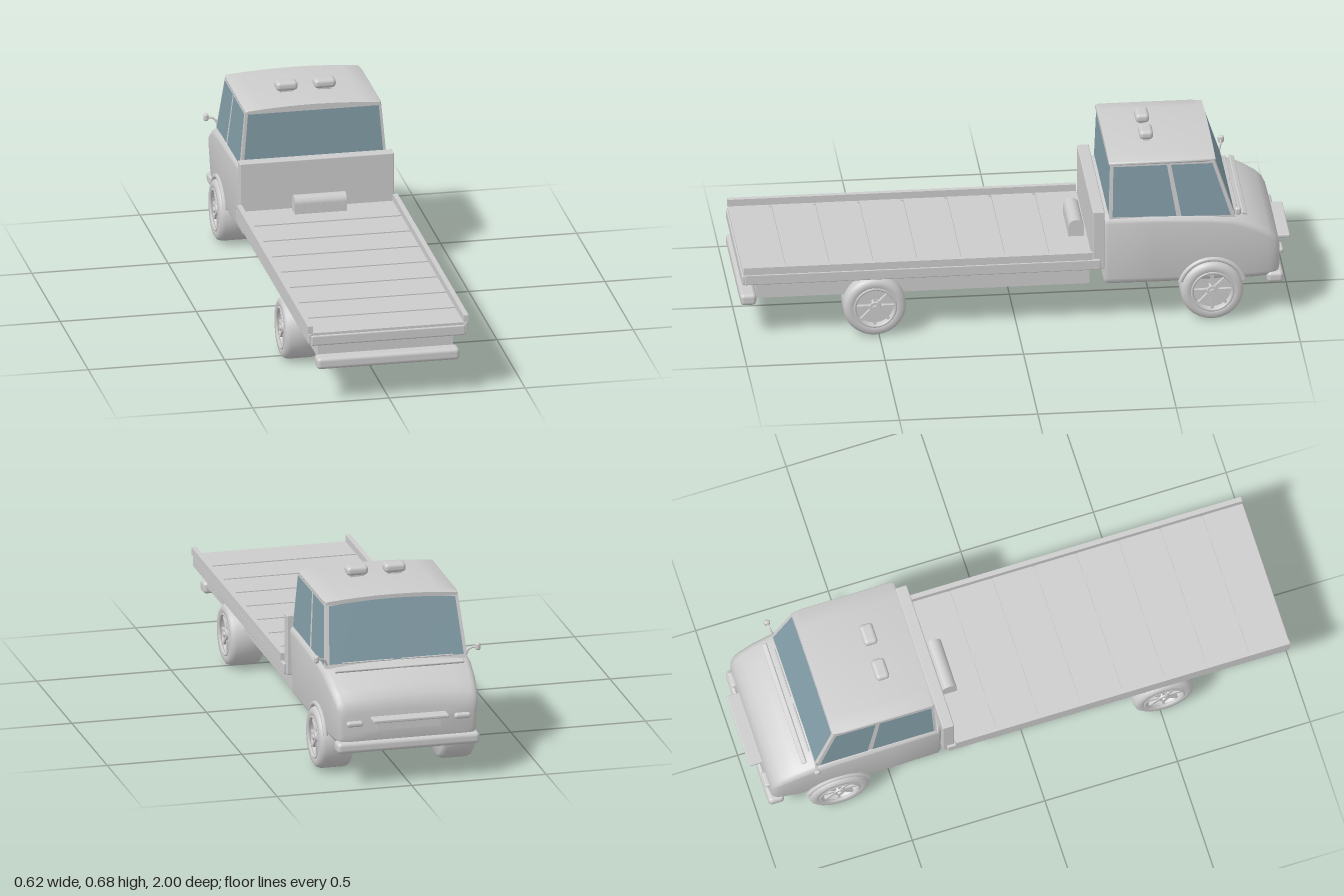
import * as THREE from 'three';
import { toCreasedNormals } from 'three/addons/utils/BufferGeometryUtils.js';
import { RoundedBoxGeometry } from 'three/addons/geometries/RoundedBoxGeometry.js';

const grey = new THREE.MeshStandardMaterial({ color: 0xcccccc });
const glass = new THREE.MeshStandardMaterial({ color: 0x829ca6 });

function add(parent, name, geo, x = 0, y = 0, z = 0, mat = grey) {
  const m = new THREE.Mesh(geo, mat);
  m.name = name;
  m.position.set(x, y, z);
  parent.add(m);
  return m;
}

// Box given by its limits on each axis
function box(parent, name, x0, x1, y0, y1, z0, z1, r = 0) {
  const s = [x1 - x0, y1 - y0, z1 - z0];
  const geo = r ? new RoundedBoxGeometry(...s, 3, r) : new THREE.BoxGeometry(...s);
  return add(parent, name, geo, (x0 + x1) / 2, (y0 + y1) / 2, (z0 + z1) / 2);
}

function geometry(pos, index) {
  const g = new THREE.BufferGeometry();
  g.setAttribute('position', new THREE.Float32BufferAttribute(pos, 3));
  g.setIndex(index);
  return g;
}

// Rounded cross-section, wider at the top by 1/taper, with a crowned top edge
function section({ z, w, y0, y1, r, crown = 0, taper = 1 }) {
  const pts = [];
  const arc = (cx, cy, start) => {
    for (let i = 0; i <= 4; i++) {
      const t = start + (i / 4) * Math.PI / 2;
      pts.push([cx + r * Math.cos(t), cy + r * Math.sin(t)]);
    }
  };
  arc(-w + r, y0 + r, Math.PI);
  arc(w - r, y0 + r, -Math.PI / 2);
  arc(w - r, y1 - r, 0);
  for (let i = 1; i < 8; i++) pts.push([(w - r) * (1 - i / 4), y1]);
  arc(-w + r, y1 - r, Math.PI / 2);
  return pts.map(([x, y]) => {
    const v = (y - y0) / (y1 - y0);
    const lift = v > 0.5 ? crown * (1 - (x / w) ** 2) : 0;
    return [x * (taper + (1 - taper) * Math.min(1, v * 2)), y + lift, z];
  });
}

// Closed skin through cross-sections listed with falling z
function loft(specs) {
  const loops = specs.map(section), n = loops[0].length, pos = loops.flat(2), idx = [];
  for (let i = 0; i < loops.length - 1; i++) {
    for (let j = 0; j < n; j++) {
      const k = (j + 1) % n, a = i * n + j, b = i * n + k, c = b + n, d = a + n;
      idx.push(a, c, b, a, d, c);
    }
  }
  [0, loops.length - 1].forEach((i) => {
    const mid = pos.length / 3, s = specs[i];
    pos.push(0, (s.y0 + s.y1) / 2, s.z);
    for (let j = 0; j < n; j++) {
      const a = i * n + j, b = i * n + ((j + 1) % n);
      idx.push(mid, ...(i === 0 ? [a, b] : [b, a]));
    }
  });
  return toCreasedNormals(geometry(pos, idx), 0.6);
}

// Panel cut from a four-cornered face (a, b bottom; c, d top), optionally arched on top
function patch([a, b, c, d], u0, u1, v0, v1, crown = 0, offset = 0) {
  const [A, B, C, D] = [a, b, c, d].map((p) => new THREE.Vector3(...p));
  const normal = B.clone().sub(A).cross(D.clone().sub(A)).normalize().multiplyScalar(offset);
  const pos = [], idx = [], n = 8;
  for (let i = 0; i <= n; i++) {
    const u = u0 + (u1 - u0) * i / n;
    [v0, v1].forEach((v) => {
      const p = A.clone().lerp(B, u).lerp(D.clone().lerp(C, u), v).add(normal);
      pos.push(p.x, p.y + v * crown * (1 - (2 * u - 1) ** 2), p.z);
    });
    if (i < n) idx.push(2 * i, 2 * i + 2, 2 * i + 3, 2 * i, 2 * i + 3, 2 * i + 1);
  }
  const g = geometry(pos, idx);
  g.computeVertexNormals();
  return g;
}

// Wheel with its outer side towards +x
function wheel(name) {
  const g = new THREE.Group();
  g.name = name;
  const profile = [[0, -0.0625], [0.098, -0.0625], [0.108, -0.056], [0.113, -0.045], [0.113, 0.042],
    [0.108, 0.055], [0.097, 0.0625], [0.08, 0.062], [0.074, 0.058], [0.07, 0.035], [0, 0.035]];
  const tyre = new THREE.LatheGeometry(profile.map((p) => new THREE.Vector2(...p)), 40);
  add(g, 'tyre', toCreasedNormals(tyre.rotateZ(-Math.PI / 2), 0.7));
  add(g, 'rim', new THREE.TorusGeometry(0.074, 0.006, 8, 40).rotateY(Math.PI / 2), 0.058);
  for (let i = 0; i < 8; i++) {
    const spoke = new THREE.BoxGeometry(0.014, 0.055, 0.01).translate(0, 0.044, 0);
    add(g, 'spoke', spoke.rotateX(i * Math.PI / 4), 0.045);
  }
  add(g, 'hub', new THREE.CylinderGeometry(0.02, 0.024, 0.026, 20).rotateZ(-Math.PI / 2), 0.046);
  add(g, 'hubCap', new THREE.CylinderGeometry(0.009, 0.011, 0.01, 16).rotateZ(-Math.PI / 2), 0.06);
  return g;
}

function buildCab(truck) {
  const cab = new THREE.Group();
  cab.name = 'cab';
  truck.add(cab);

  // Lower body, running into the sloping rounded nose
  const t = { r: 0.025, taper: 0.96 };
  add(cab, 'cabBody', loft([
    { ...t, z: -0.318, w: 0.268, y0: 0.15, y1: 0.412 },
    { ...t, z: -0.328, w: 0.275, y0: 0.145, y1: 0.417 },
    { ...t, z: -0.50, w: 0.278, y0: 0.145, y1: 0.417 },
    { ...t, z: -0.70, w: 0.278, y0: 0.145, y1: 0.407, crown: 0.005 },
    { ...t, z: -0.79, w: 0.276, y0: 0.145, y1: 0.392, crown: 0.016 },
    { ...t, z: -0.86, w: 0.272, y0: 0.145, y1: 0.363, crown: 0.02 },
    { ...t, z: -0.91, w: 0.267, y0: 0.147, y1: 0.334, crown: 0.018 },
    { ...t, z: -0.935, w: 0.262, y0: 0.15, y1: 0.312, crown: 0.014 },
    { ...t, z: -0.947, w: 0.253, y0: 0.157, y1: 0.29, crown: 0.01 },
    { ...t, z: -0.952, w: 0.24, y0: 0.17, y1: 0.27, crown: 0.006 },
  ]));

  // Window frame and panes
  const rb = [0.268, 0.41, -0.334], rt = [0.249, 0.62, -0.341];
  const fb = [0.264, 0.395, -0.79], ft = [0.246, 0.618, -0.716];
  const m = ([x, y, z]) => [-x, y, z];
  const left = [rb, fb, ft, rt], right = [m(fb), m(rb), m(rt), m(ft)];
  const rear = [m(rb), rb, rt, m(rt)], front = [fb, m(fb), m(ft), ft];
  const pane = (face, ...rest) => add(cab, 'window', patch(face, ...rest, 0.002), 0, 0, 0, glass);
  [left, right].forEach((f) => add(cab, 'windowFrame', patch(f, 0, 1, 0, 1)));
  [rear, front].forEach((f) => add(cab, 'windowFrame', patch(f, 0, 1, 0, 1, 0.013)));
  pane(left, 0.025, 0.535, 0.04, 0.95, 0);
  pane(left, 0.575, 0.97, 0.04, 0.95, 0);
  pane(right, 0.465, 0.975, 0.04, 0.95, 0);
  pane(right, 0.03, 0.425, 0.04, 0.95, 0);
  pane(rear, 0.02, 0.98, 0.05, 0.965, 0.014);
  pane(front, 0.025, 0.975, 0.06, 0.95, 0.014);

  // Crowned roof
  const roof = { y0: 0.612, y1: 0.625, r: 0.005, crown: 0.012 };
  add(cab, 'roof', loft([
    { ...roof, z: -0.335, w: 0.245, y1: 0.623 },
    { ...roof, z: -0.345, w: 0.25 },
    { ...roof, z: -0.68, w: 0.249 },
    { ...roof, z: -0.72, w: 0.244, y1: 0.623 },
  ]));
  for (const s of [-1, 1]) {
    add(cab, 'roofLight', new RoundedBoxGeometry(0.08, 0.034, 0.05, 3, 0.014), s * 0.07, 0.659, -0.485);
    box(cab, 'roofLightFoot', s * 0.07 - 0.025, s * 0.07 + 0.025, 0.625, 0.65, -0.497, -0.473);

    // Mirrors on short stalks
    add(cab, 'mirror', new RoundedBoxGeometry(0.018, 0.028, 0.022, 3, 0.008), s * 0.30, 0.437, -0.795);
    const stalk = new THREE.CatmullRomCurve3([[0.255, 0.395, -0.78], [0.27, 0.43, -0.79], [0.297, 0.437, -0.795]]
      .map(([x, y, z]) => new THREE.Vector3(s * x, y, z)));
    add(cab, 'mirrorStalk', new THREE.TubeGeometry(stalk, 8, 0.004, 8));

    // Wheel arch lips and nose lamps
    const arch = new THREE.TorusGeometry(0.12, 0.009, 8, 28, Math.PI * 0.8);
    add(cab, 'wheelArch', arch.rotateZ(Math.PI * 0.1).rotateY(Math.PI / 2), s * 0.272, 0.115, -0.705);
    add(cab, 'noseLamp', new RoundedBoxGeometry(0.06, 0.02, 0.03, 3, 0.009), s * 0.2, 0.235, -0.953);
  }

  // Cowl strip, wipers, nose lip and front bumper
  add(cab, 'cowlStrip', new RoundedBoxGeometry(0.48, 0.01, 0.02, 2, 0.004), 0, 0.397, -0.825).rotation.x = -0.35;
  for (const x of [-0.11, 0.11]) {
    add(cab, 'wiper', new THREE.CylinderGeometry(0.003, 0.003, 0.19, 8).rotateZ(Math.PI / 2), x, 0.414, -0.797);
  }
  box(cab, 'noseLip', -0.14, 0.14, 0.244, 0.256, -1.0, -0.94, 0.004);
  box(cab, 'noseGrille', -0.12, 0.12, 0.205, 0.244, -0.96, -0.94);
  box(cab, 'frontBumper', -0.265, 0.265, 0.125, 0.167, -0.965, -0.905, 0.015);
}

function buildBed(truck) {
  const bed = new THREE.Group();
  bed.name = 'flatbed';
  truck.add(bed);
  box(bed, 'chassis', -0.248, 0.248, 0.15, 0.222, -0.265, 0.94);
  box(bed, 'bedFrame', -0.283, 0.283, 0.218, 0.257, -0.30, 0.995, 0.006);

  // Planks separated by narrow grooves
  const count = 8, z0 = -0.275, pitch = (0.995 - z0) / count;
  for (let i = 0; i < count; i++) {
    box(bed, 'plank', -0.28, 0.28, 0.25, 0.266, z0 + i * pitch + 0.005, z0 + (i + 1) * pitch - 0.005);
  }
  for (const s of [-1, 1]) {
    const x = s * 0.286;
    box(bed, 'sideRail', x - 0.009, x + 0.009, 0.264, 0.292, -0.27, 0.99);
    box(bed, 'sideBeam', x - 0.006, x + 0.006, 0.222, 0.262, -0.30, 0.985, 0.004);
  }
  box(bed, 'headboard', -0.283, 0.283, 0.222, 0.448, -0.316, -0.273, 0.004);

  // Winch drum on its base
  add(bed, 'winchDrum', new THREE.CylinderGeometry(0.028, 0.028, 0.19, 12).rotateZ(Math.PI / 2), 0, 0.302, -0.232);
  box(bed, 'winchBase', -0.095, 0.095, 0.26, 0.3, -0.26, -0.204);

  // Rear bumper
  box(bed, 'rearBumper', -0.262, 0.262, 0.125, 0.169, 0.94, 0.998, 0.014);
}

export function createModel() {
  const truck = new THREE.Group();
  truck.name = 'flatbedTruck';
  buildCab(truck);
  buildBed(truck);
  for (const s of [-1, 1]) {
    for (const [name, x, z] of [['frontWheel', 0.227, -0.705], ['rearWheel', 0.2375, 0.515]]) {
      const w = wheel(name);
      w.position.set(s * x, 0.113, z);
      if (s < 0) w.rotation.y = Math.PI;
      truck.add(w);
    }
  }
  return truck;
}
